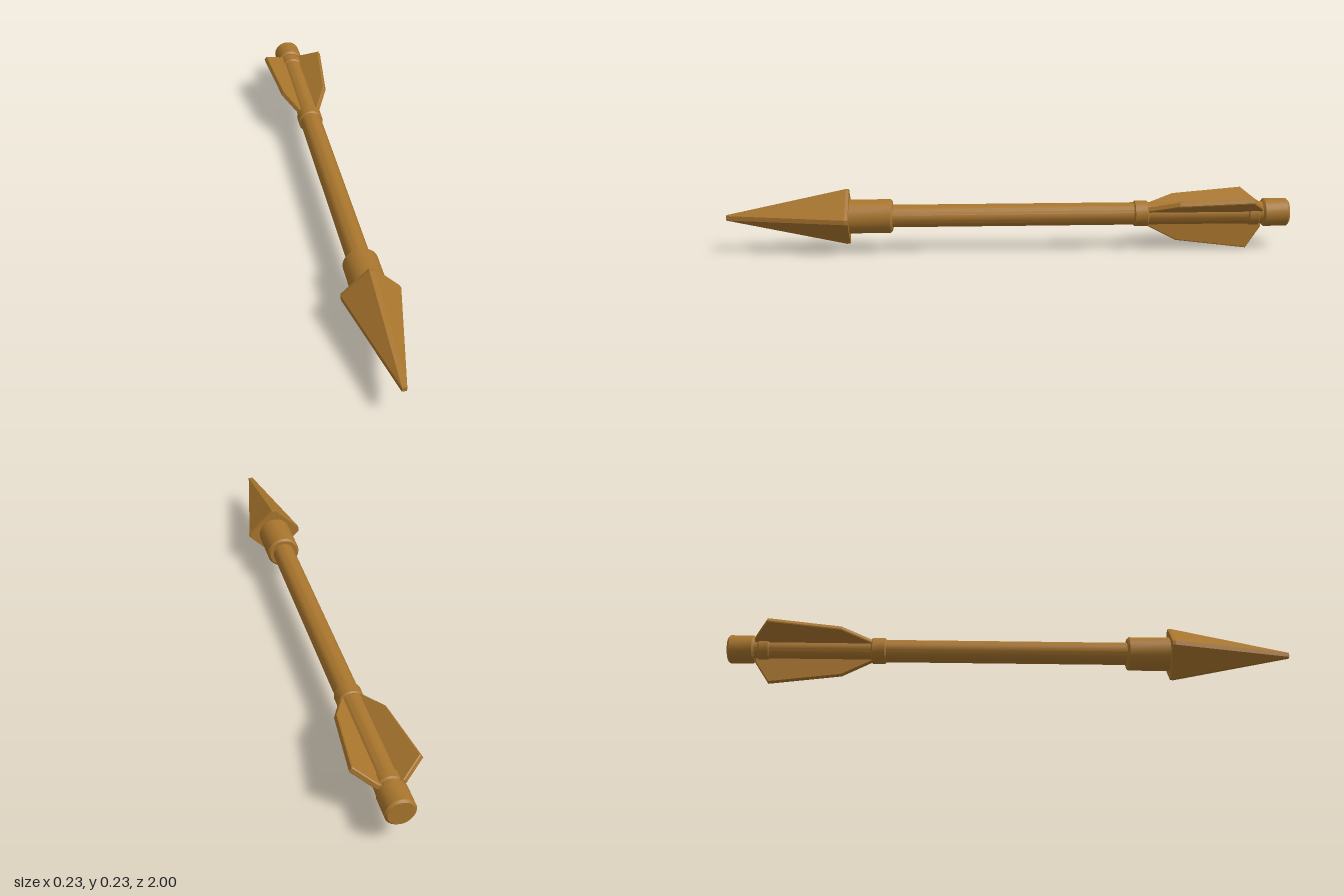
import * as THREE from 'three';
import { toCreasedNormals } from 'three/addons/utils/BufferGeometryUtils.js';

const AXIS_Y = 0.132;
const material = new THREE.MeshStandardMaterial({ color: 0xa8752d });

// Closed round part along z with bevelled ends
function roundPart(name, z0, z1, radius, bevel) {
  const profile = [
    [0, z0], [radius - bevel, z0], [radius, z0 + bevel],
    [radius, z1 - bevel], [radius - bevel, z1], [0, z1],
  ].map(([r, z]) => new THREE.Vector2(r, z));
  const geometry = new THREE.LatheGeometry(profile, 24).rotateX(Math.PI / 2);
  return namedMesh(name, toCreasedNormals(geometry, 0.5));
}

function namedMesh(name, geometry) {
  const mesh = new THREE.Mesh(geometry, material);
  mesh.name = name;
  return mesh;
}

// Four-sided point with narrow flat ridges, lofted from eight-cornered rings
function headGeometry() {
  const ridge = 0.008;
  const rings = [[0.567, 0.097], [0.578, 0.098], [1, ridge]];
  const positions = [];
  const indices = [];
  for (const [z, h] of rings) {
    const corners = [
      [h, -ridge], [h, ridge], [ridge, h], [-ridge, h],
      [-h, ridge], [-h, -ridge], [-ridge, -h], [ridge, -h],
    ];
    for (const [x, y] of corners) positions.push(x, y, z);
  }
  for (let ring = 0; ring < rings.length - 1; ring++) {
    for (let i = 0; i < 8; i++) {
      const a = ring * 8 + i, b = ring * 8 + (i + 1) % 8;
      indices.push(a, b, b + 8, a, b + 8, a + 8);
    }
  }
  // End caps
  for (let i = 1; i < 7; i++) {
    indices.push(0, i + 1, i);
    indices.push(16, 16 + i, 17 + i);
  }
  const geometry = new THREE.BufferGeometry();
  geometry.setAttribute('position', new THREE.Float32BufferAttribute(positions, 3));
  geometry.setIndex(indices);
  const flat = geometry.toNonIndexed();
  flat.computeVertexNormals();
  return flat;
}

// Fin outline (radius, z) extruded to a thin plate with softened edges
function finGeometry() {
  const bevel = 0.003;
  const shape = new THREE.Shape([
    [0.02, -0.9], [0.05, -0.9], [0.126, -0.85],
    [0.095, -0.597], [0.042, -0.495], [0.02, -0.495],
  ].map(([r, z]) => new THREE.Vector2(r, z)));
  const geometry = new THREE.ExtrudeGeometry(shape, {
    depth: 0.014, bevelEnabled: true, bevelSize: bevel, bevelThickness: bevel, bevelSegments: 1,
  });
  return geometry.translate(0, 0, -0.007).rotateX(Math.PI / 2);
}

export function createModel() {
  const model = new THREE.Group();
  model.name = 'arrow';
  const body = new THREE.Group();
  body.name = 'arrowBody';
  body.position.y = AXIS_Y;
  model.add(body);

  // Shaft, socket, binding rings and nock
  body.add(
    roundPart('shaft', -0.93, 0.45, 0.04, 0.002),
    roundPart('socket', 0.415, 0.575, 0.06, 0.007),
    roundPart('frontBinding', -0.495, -0.442, 0.046, 0.005),
    roundPart('rearBinding', -0.894, -0.852, 0.045, 0.005),
    roundPart('nock', -1, -0.906, 0.05, 0.007),
    namedMesh('arrowhead', headGeometry()),
  );

  // Three fins, evenly spaced, one pointing straight down
  const fin = finGeometry();
  for (let i = 0; i < 3; i++) {
    const mesh = namedMesh('fin' + (i + 1), fin);
    mesh.rotation.z = -Math.PI / 2 + (i * Math.PI * 2) / 3;
    body.add(mesh);
  }
  return model;
}
